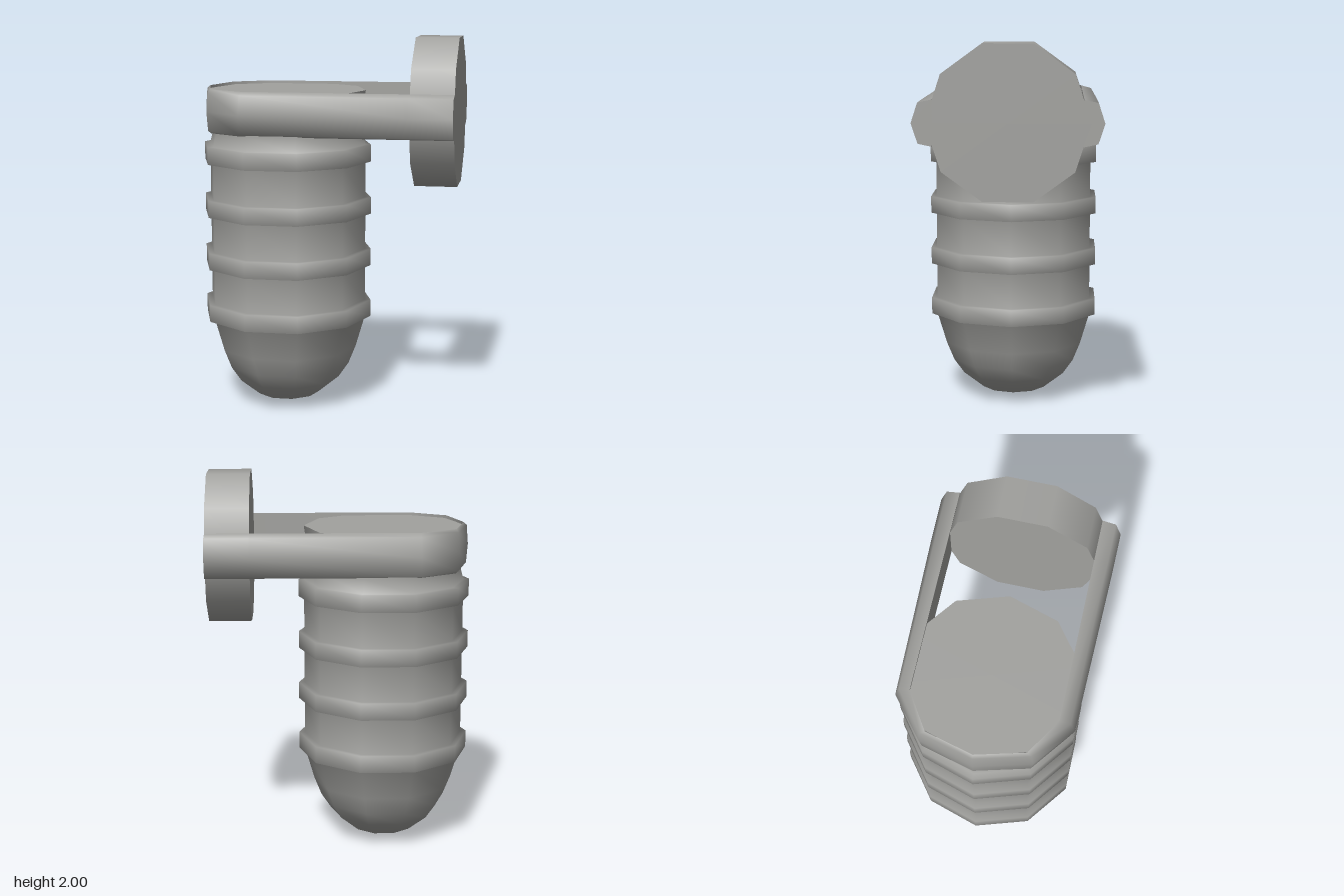
import * as THREE from 'three';

const SIDES = 10;
const AXIS_X = -0.235; // centre line of the ribbed body

// Bullet-shaped profile with four stepped ribs, bottom to top
function bodyProfile() {
  const pts = [[0, 0.005], [0.17, 0.05], [0.28, 0.14], [0.335, 0.22], [0.375, 0.32], [0.425, 0.49]];
  for (let i = 0; i < 4; i++) {
    const y = 0.49 + i * 0.282;
    if (i) pts.push([0.425, y]);
    pts.push([0.455, y], [0.455, y + 0.09], [0.425, y + 0.09]);
  }
  pts.push([0.405, 1.5], [0.408, 1.6], [0.425, 1.715]);
  return pts.map(([r, y]) => new THREE.Vector2(r, y));
}

// U-shaped strap: a rounded section swept around the body, flat on the inside
function strapGeometry() {
  // inner x, inner z, outer x, outer z
  const half = [
    [0.69, 0.37, 0.69, 0.472],
    [0.465, 0.37, 0.465, 0.47],
    [-0.4, 0.37, -0.4, 0.45],
    [-0.59, 0.25, -0.605, 0.285],
  ];
  const mirrored = half.map(([a, b, c, d]) => [a, -b, c, -d]).reverse();
  const stations = [...half, [-0.655, 0, -0.68, 0], ...mirrored];
  // share of the width, height; the last two columns are the inner wall
  const section = [[0, 1.73], [0.68, 1.715], [1, 1.615], [0.68, 1.515], [0, 1.5], [0, 1.5], [0, 1.73]];
  const pos = [], idx = [], n = section.length;
  const place = ([ix, iz, ox, oz]) => section.forEach(([t, y]) =>
    pos.push(ix + (ox - ix) * t, y, iz + (oz - iz) * t));
  stations.forEach(place);
  for (let i = 0; i < stations.length - 1; i++) {
    for (let j = 0; j < n - 1; j++) {
      if (j === 4) continue;
      const a = i * n + j, c = a + n;
      idx.push(a, c, a + 1, a + 1, c, c + 1);
    }
  }
  // End caps
  [stations[0], stations[stations.length - 1]].forEach((s, k) => {
    const base = pos.length / 3;
    place(s);
    for (let j = 1; j < 4; j++) {
      idx.push(base, base + (k ? j + 1 : j), base + (k ? j : j + 1));
    }
  });
  const geo = new THREE.BufferGeometry();
  geo.setAttribute('position', new THREE.Float32BufferAttribute(pos, 3));
  geo.setIndex(idx);
  geo.computeVertexNormals();
  return geo;
}

export function createModel() {
  const model = new THREE.Group();
  model.name = 'ribbedCapsuleWithStrap';
  const grey = new THREE.MeshStandardMaterial({ color: 0xa1a19e });
  grey.name = 'warm grey';

  const add = (name, geo) => {
    const mesh = new THREE.Mesh(geo, grey);
    mesh.name = name;
    model.add(mesh);
  };

  // Ribbed body, slightly wider in depth, and its flat lid
  const body = new THREE.LatheGeometry(bodyProfile(), SIDES, Math.PI / 2);
  add('ribbedBody', body.scale(1, 1, 1.035).translate(AXIS_X, 0, 0));
  const lid = new THREE.CircleGeometry(0.425, SIDES).rotateX(-Math.PI / 2);
  add('lid', lid.scale(1, 1, 1.035).translate(AXIS_X, 1.715, 0));

  // Strap around the top of the body
  add('strap', strapGeometry());

  // Upright disc held between the strap ends
  const disc = new THREE.CylinderGeometry(0.405, 0.405, 0.225, SIDES).rotateZ(Math.PI / 2);
  add('endDisc', disc.translate(0.5775, 1.615, 0));

  return model;
}
